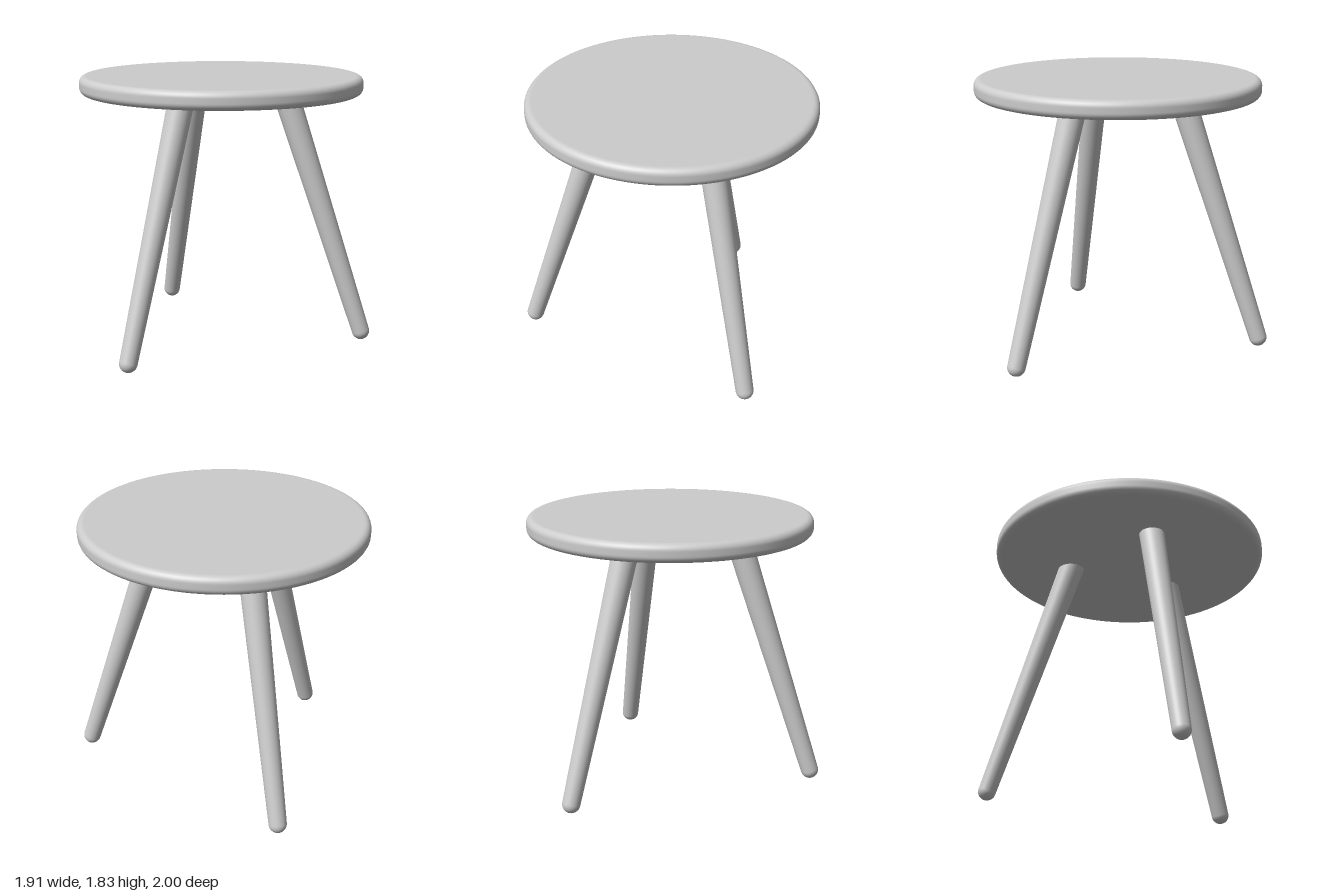
import * as THREE from 'three';

const UP = new THREE.Vector3(0, 1, 0);

// Round slab with filleted rims, revolved about its own axis
function seatGeometry(radius, height, fillet) {
  const pts = [new THREE.Vector2(0, 0), new THREE.Vector2(radius * 0.6, 0), new THREE.Vector2(radius - fillet - 0.01, 0)];
  const corner = (cy, from) => {
    for (let i = 0; i <= 8; i++) {
      const a = from + (i / 8) * Math.PI / 2;
      pts.push(new THREE.Vector2(radius - fillet + Math.cos(a) * fillet, cy + Math.sin(a) * fillet));
    }
  };
  corner(fillet, -Math.PI / 2);
  corner(height - fillet, 0);
  pts.push(new THREE.Vector2(radius - fillet - 0.01, height), new THREE.Vector2(radius * 0.6, height), new THREE.Vector2(0, height));
  return new THREE.LatheGeometry(pts, 96);
}

// Tapered rod with a hemispherical foot; origin at the foot's centre
function legGeometry(footRadius, topRadius, length) {
  const pts = [];
  for (let i = 0; i <= 10; i++) {
    const a = (i / 10) * Math.PI / 2;
    pts.push(new THREE.Vector2(Math.sin(a) * footRadius, -Math.cos(a) * footRadius));
  }
  pts.push(new THREE.Vector2(topRadius, length));
  return new THREE.LatheGeometry(pts, 40);
}

export function createModel() {
  const stool = new THREE.Group();
  stool.name = 'stool';
  const grey = new THREE.MeshStandardMaterial({ color: 0xcccccc });
  grey.name = 'light grey';

  const seat = new THREE.Mesh(seatGeometry(0.953, 0.122, 0.045), grey);
  seat.name = 'seat';
  seat.position.set(0, 1.708, -0.044);
  stool.add(seat);

  // Each leg runs from its foot centre to a point inside the seat
  const legs = [
    ['frontLeg', [0.03, 0.06, 0.94], [0.03, 1.74, 0.39]],
    ['backRightLeg', [-0.865, 0.06, -0.508], [-0.375, 1.74, -0.23]],
    ['backLeftLeg', [0.833, 0.06, -0.558], [0.353, 1.74, -0.28]],
  ];
  for (const [name, foot, top] of legs) {
    const start = new THREE.Vector3(...foot);
    const axis = new THREE.Vector3(...top).sub(start);
    const leg = new THREE.Mesh(legGeometry(0.06, 0.088, axis.length()), grey);
    leg.name = name;
    leg.position.copy(start);
    leg.quaternion.setFromUnitVectors(UP, axis.normalize());
    stool.add(leg);
  }
  return stool;
}
